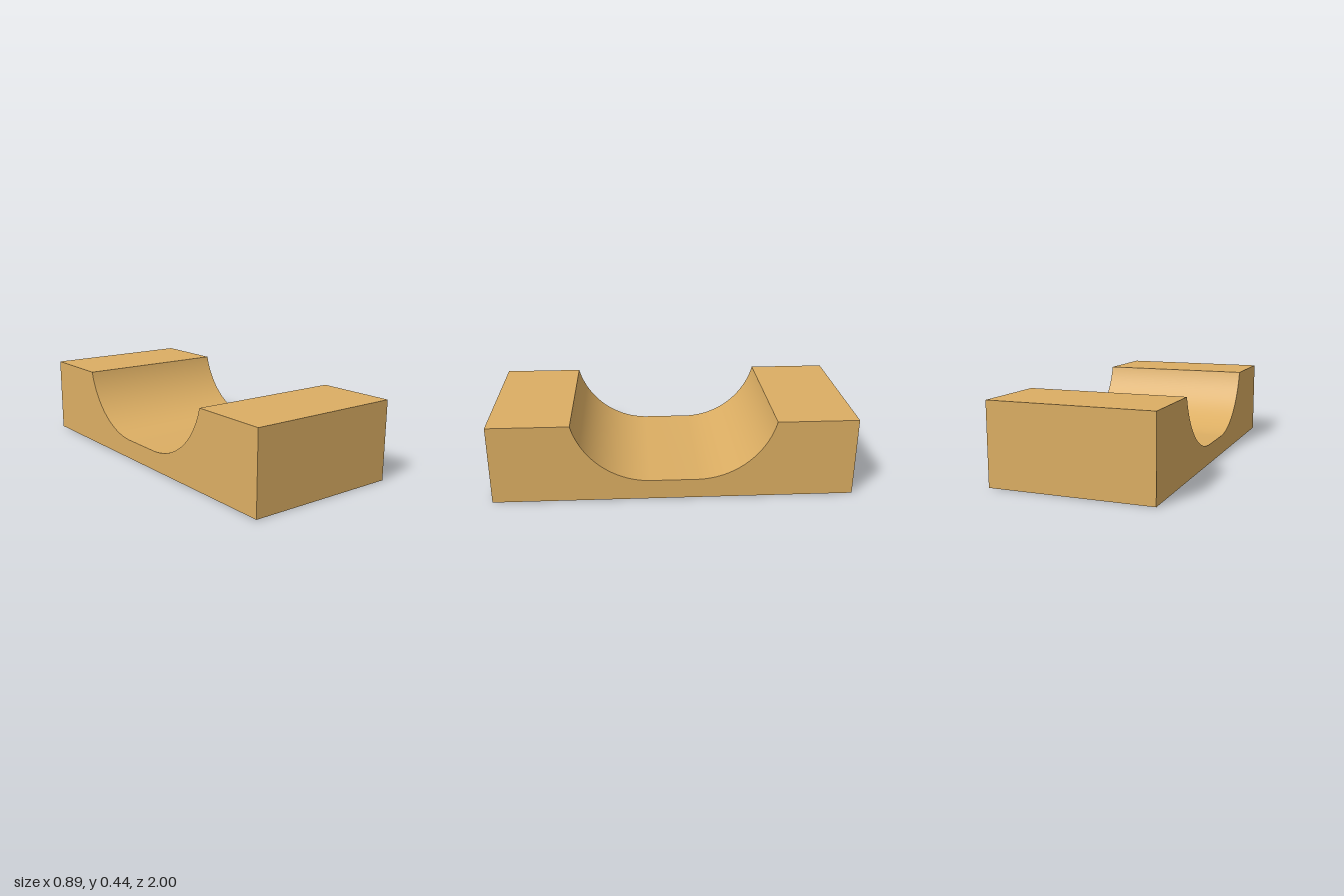
import * as THREE from 'three';
import { toCreasedNormals } from 'three/addons/utils/BufferGeometryUtils.js';

export function createModel() {
  const group = new THREE.Group();
  group.name = 'cradleBlock';
  const tan = new THREE.MeshStandardMaterial({ color: 0xdcae63 });
  tan.name = 'tan';

  const unit = 1 / 9;
  const halfLength = 9 * unit, width = 8 * unit, height = 4 * unit;
  const radius = 4 * unit, arcY = 5 * unit; // hollow arcs, tangent to the floor
  const rimAngle = Math.asin((arcY - height) / radius);
  const arcX = 5 * unit - radius * Math.cos(rimAngle);

  // Side profile: block with a flat-bottomed round hollow
  const profile = new THREE.Shape();
  profile.moveTo(-halfLength, 0);
  profile.lineTo(halfLength, 0);
  profile.lineTo(halfLength, height);
  profile.absarc(arcX, arcY, radius, -rimAngle, -Math.PI / 2, true);
  profile.absarc(-arcX, arcY, radius, -Math.PI / 2, -Math.PI + rimAngle, true);
  profile.lineTo(-halfLength, height);
  profile.closePath();

  // Sweep across the width, with a smooth hollow and sharp edges
  const extruded = new THREE.ExtrudeGeometry(profile, {
    depth: width, bevelEnabled: false, curveSegments: 24,
  });
  extruded.translate(0, 0, -width / 2);
  extruded.rotateY(Math.PI / 2);
  const block = new THREE.Mesh(toCreasedNormals(extruded, 0.4), tan);
  block.name = 'hollowedBlock';
  group.add(block);
  return group;
}
